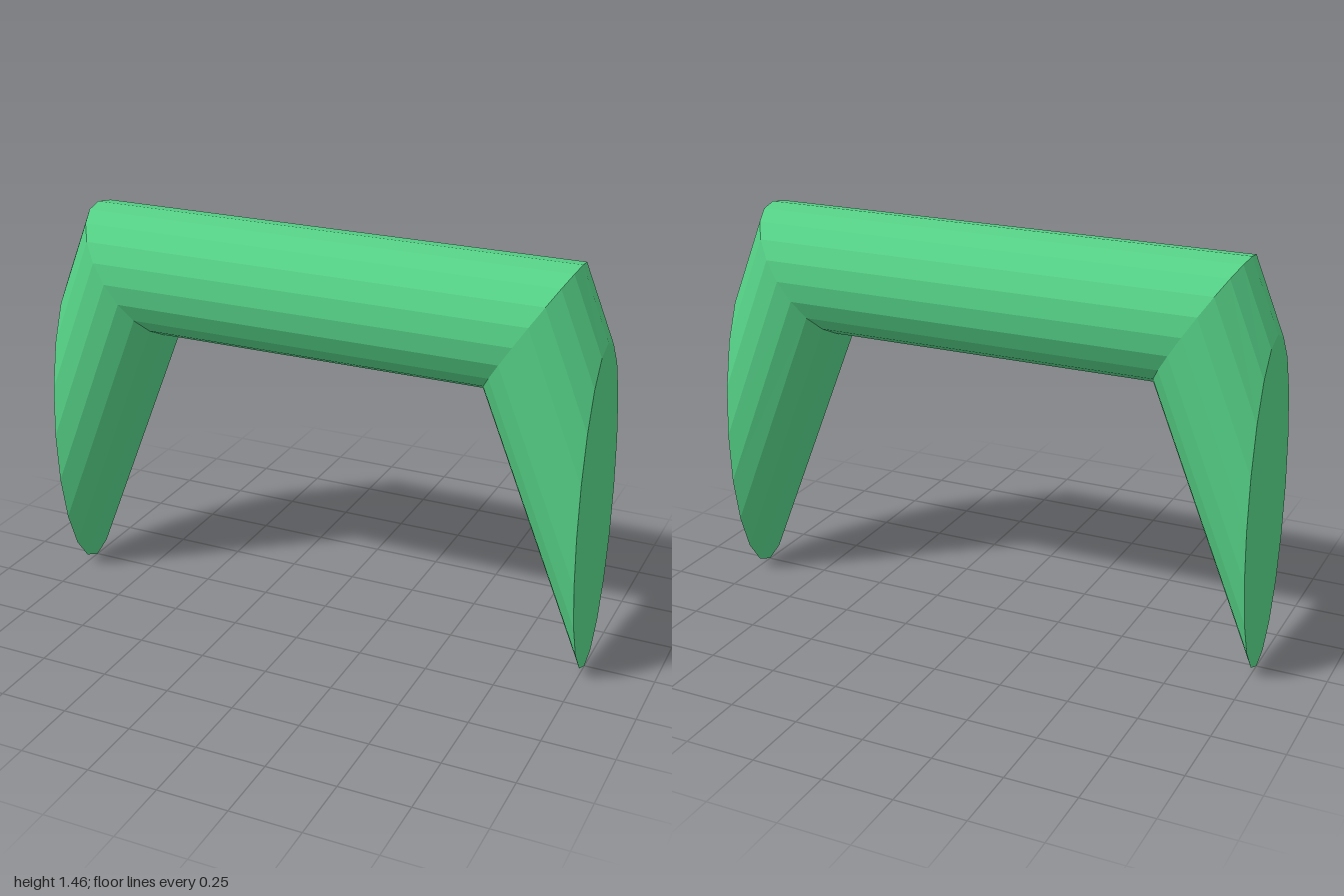
import * as THREE from 'three';

const RADIUS = 0.2275;
const SIDES = 20;

export function createModel() {
  const group = new THREE.Group();
  group.name = 'pullHandle';

  const green = new THREE.MeshStandardMaterial({ color: 0x55d086, flatShading: true });
  green.name = 'green';

  // One round bar along x with four rings: two mounting faces, two mitred corners
  const geometry = new THREE.CylinderGeometry(RADIUS, RADIUS, 2, SIDES, 3);
  geometry.rotateZ(Math.PI / 2);

  const pos = geometry.attributes.position;
  for (let i = 0; i < pos.count; i++) {
    const side = Math.sign(pos.getX(i));
    const k = pos.getY(i) / RADIUS; // -1 at the underside, 1 at the top
    if (Math.abs(pos.getX(i)) > 0.5) {
      // Mounting face: vertical cut through the sloping leg
      pos.setXY(i, side, 0.604 + 0.604 * k);
    } else {
      // Mitre between grip and leg
      pos.setXY(i, side * (0.75 + 0.15 * k), 1.2275 + RADIUS * k);
    }
  }
  geometry.computeVertexNormals();

  const handle = new THREE.Mesh(geometry, green);
  handle.name = 'handleBar';
  group.add(handle);
  return group;
}
